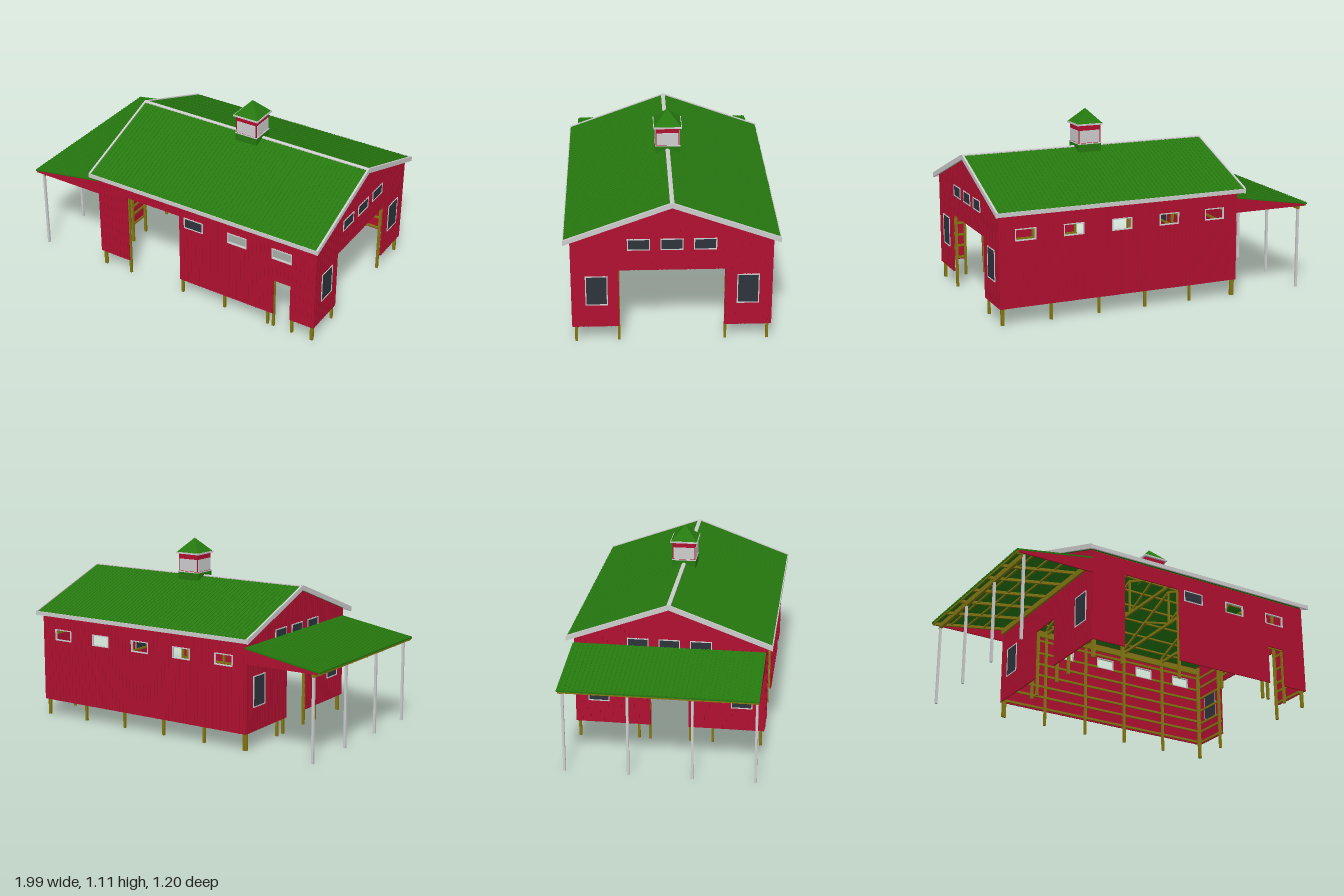
import * as THREE from 'three';
import { mergeGeometries } from 'three/addons/utils/BufferGeometryUtils.js';

const mat = (name, color) => {
  const m = new THREE.MeshStandardMaterial({ color });
  m.name = name;
  return m;
};
const M = {
  red: mat('red siding', 0xb01030),
  green: mat('green roofing', 0x26790f),
  trim: mat('light trim', 0xcdcdcd),
  wood: mat('timber', 0x857812),
  glass: mat('dark glass', 0x2d343b),
};
const BASE = 0.1, EAVE = 0.645, SLOPE = 0.367;

// Box geometry given by its min and max corners
function box(x0, x1, y0, y1, z0, z1) {
  return new THREE.BoxGeometry(x1 - x0, y1 - y0, z1 - z0)
    .translate((x0 + x1) / 2, (y0 + y1) / 2, (z0 + z1) / 2);
}
// Square timber between two points
function beam(a, b, w, h) {
  const A = new THREE.Vector3(...a), B = new THREE.Vector3(...b);
  const g = new THREE.BoxGeometry(w, h, A.distanceTo(B));
  const m = new THREE.Matrix4().lookAt(B, A, new THREE.Vector3(0, 1, 0));
  return g.applyMatrix4(m.setPosition(A.add(B).multiplyScalar(0.5)));
}
// One mesh from several pieces, all brought to non-indexed form
function add(parent, name, geos, material) {
  const mesh = new THREE.Mesh(mergeGeometries(geos.map(g => g.index ? g.toNonIndexed() : g)), material);
  mesh.name = name;
  parent.add(mesh);
}
function extrude(points, depth, holes = []) {
  const shape = new THREE.Shape(points.map(p => new THREE.Vector2(...p)));
  for (const [a, b, c, d] of holes)
    shape.holes.push(new THREE.Path([[a, c], [a, d], [b, d], [b, c]].map(p => new THREE.Vector2(...p))));
  return new THREE.ExtrudeGeometry(shape, { depth, bevelEnabled: false });
}
// Parts of lo..hi that remain between the gaps
function spans(lo, hi, gaps) {
  const out = [];
  let at = lo;
  for (const [a, b] of [...gaps].sort((p, q) => p[0] - q[0])) {
    if (a > at) out.push([at, Math.min(a, hi)]);
    at = Math.max(at, b);
  }
  if (at < hi) out.push([at, hi]);
  return out;
}

// Ribbed wall facing local +z; rectangles are [u0, u1, y0, y1]
function wall(name, { u0, u1, gable = false, doors = [], open = [], glazed = [], rows, posts }) {
  const g = new THREE.Group();
  g.name = name;
  const top = u => gable ? 0.858 - SLOPE * Math.abs(u) : EAVE;
  const outline = [[u0, BASE]];
  for (const [a, b, , h] of doors) outline.push([a, BASE], [a, h], [b, h], [b, BASE]);
  outline.push([u1, BASE], [u1, top(u1)]);
  if (gable) outline.push([0, top(0)]);
  outline.push([u0, top(u0)]);
  const siding = [extrude(outline, 0.007, open)];
  for (let u = u0 + 0.012; u < u1 - 0.006; u += 0.026) {
    const gaps = [...doors, ...open, ...glazed].filter(r => u > r[0] - 0.006 && u < r[1] + 0.006).map(r => [r[2], r[3]]);
    for (const [a, b] of spans(BASE, top(u), gaps)) siding.push(box(u - 0.003, u + 0.003, a, b, 0.006, 0.009));
  }
  add(g, 'siding', siding, M.red);
  // Horizontal girts and posts on the inside
  const wood = [];
  for (const y of rows) {
    const gaps = [...doors, ...open].filter(r => y > r[2] && y < r[3]).map(r => [r[0], r[1]]);
    for (const [a, b] of spans(u0 + 0.02, u1 - 0.02, gaps)) wood.push(box(a, b, y - 0.007, y + 0.007, -0.007, -0.0005));
  }
  for (const [u, h] of posts) wood.push(box(u - 0.007, u + 0.007, 0, h, -0.022, -0.007));
  add(g, 'framing', wood, M.wood);
  // Window frames and panes
  const f = 0.006, frames = [];
  for (const [a, b, c, d] of [...open, ...glazed]) {
    frames.push(box(a, b, c, c + f, -0.001, 0.011), box(a, b, d - f, d, -0.001, 0.011),
      box(a, a + f, c, d, -0.001, 0.011), box(b - f, b, c, d, -0.001, 0.011));
  }
  add(g, 'windowFrames', frames, M.trim);
  if (glazed.length) add(g, 'windowPanes', glazed.map(([a, b, c, d]) => box(a + f, b - f, c + f, d - f, -0.001, 0.0085)), M.glass);
  return g;
}

// Chevron across the ridge, extruded from x0 to x1
function chevron(x0, x1, half, peak, thick) {
  const e = peak - half * SLOPE;
  return extrude([[-half, e - thick], [0, peak - thick], [half, e - thick], [half, e], [0, peak], [-half, e]], x1 - x0)
    .rotateY(Math.PI / 2).translate(x0, 0, 0);
}

export function createModel() {
  const root = new THREE.Group();
  root.name = 'barn';
  const place = (w, x, z, ry) => { w.position.set(x, 0, z); w.rotation.y = ry; root.add(w); };
  const rows = [0.115, 0.19, 0.26, 0.335, 0.41, 0.485, 0.57];
  const endRows = [0.112, 0.185, 0.243, 0.333, 0.42, 0.5, 0.57];
  const win = (c, w, y0, y1) => [c - w / 2, c + w / 2, y0, y1];
  const bays = [-0.51, -0.22, 0.07, 0.36, 0.655, 0.95];

  // Four walls
  place(wall('frontWall', {
    u0: -0.52, u1: 0.967, rows, doors: [[-0.31, 0.06, BASE, 0.55], [0.7, 0.81, BASE, 0.335]],
    open: [win(0.455, 0.13, 0.483, 0.553), win(0.75, 0.13, 0.483, 0.553)], glazed: [win(0.16, 0.13, 0.483, 0.553)],
    posts: [[-0.505, EAVE], [-0.315, EAVE], [0.066, EAVE], [0.36, EAVE], [0.655, EAVE], [0.694, 0.4], [0.816, 0.4], [0.95, EAVE]],
  }), 0, 0.553, 0);
  place(wall('backWall', {
    u0: -0.967, u1: 0.52, rows, open: [-0.81, -0.52, -0.225, 0.075, 0.37].map(c => win(c, 0.125, 0.483, 0.553)),
    posts: bays.map(x => [-x, EAVE]),
  }), 0, -0.553, Math.PI);
  const panes = [win(-0.42, 0.125, 0.24, 0.425), win(0.425, 0.125, 0.24, 0.425),
    ...[-0.184, 0, 0.184].map(c => win(c, 0.127, 0.585, 0.655))];
  place(wall('rightGable', {
    u0: -0.56, u1: 0.56, gable: true, rows: endRows, doors: [[-0.295, 0.295, BASE, 0.46]], glazed: panes,
    posts: [[-0.54, 0.63], [-0.298, 0.7], [0.302, 0.7], [0.54, 0.63]],
  }), 0.96, 0, Math.PI / 2);
  place(wall('leftGable', {
    u0: -0.56, u1: 0.56, gable: true, rows: endRows, doors: [[-0.113, 0.113, BASE, 0.4]], glazed: panes,
    posts: [[-0.54, 0.63], [-0.185, 0.75], [-0.12, 0.75], [0.12, 0.75], [0.255, 0.7], [0.54, 0.63]],
  }), -0.513, 0, -Math.PI / 2);

  // Ribbed gable roof
  const roof = [chevron(-0.55, 0.985, 0.595, 0.878, 0.014)];
  for (let x = -0.525; x < 0.975; x += 0.026) roof.push(chevron(x, x + 0.006, 0.595, 0.8805, 0.004));
  add(root, 'roof', roof, M.green);
  const trim = [chevron(-0.558, -0.546, 0.599, 0.883, 0.03), chevron(0.981, 0.993, 0.599, 0.883, 0.03),
    chevron(-0.55, 0.985, 0.012, 0.884, 0.006)];
  for (const s of [-1, 1]) {
    const a = s * 0.59, b = s * 0.6;
    trim.push(box(-0.558, 0.993, 0.636, 0.66, Math.min(a, b), Math.max(a, b)));
  }
  add(root, 'roofTrim', trim, M.trim);

  // Trusses, purlins and wall plates
  const truss = [];
  const under = z => 0.85 - SLOPE * Math.abs(z);
  for (const x of bays.slice(1, -1)) {
    truss.push(box(x - 0.006, x + 0.006, 0.615, 0.632, -0.54, 0.54), box(x - 0.005, x + 0.005, 0.62, 0.84, -0.006, 0.006));
    for (const s of [-1, 1]) {
      truss.push(beam([x, under(0.54) - 0.006, s * 0.54], [x, under(0) - 0.006, 0], 0.012, 0.014));
      truss.push(beam([x, 0.625, 0], [x, under(0.27) - 0.01, s * 0.27], 0.01, 0.012));
    }
  }
  for (const s of [-1, 1]) {
    for (const z of [0.08, 0.19, 0.3, 0.41, 0.51])
      truss.push(beam([-0.5, under(z) + 0.006, s * z], [0.95, under(z) + 0.006, s * z], 0.012, 0.01));
    truss.push(beam([-0.5, 0.61, s * 0.535], [0.95, 0.61, s * 0.535], 0.014, 0.04));
  }
  add(root, 'roofFraming', truss, M.wood);

  // Lean-to porch
  const porch = new THREE.Group();
  porch.name = 'porch';
  root.add(porch);
  const py = x => 0.53 + (x + 1) * 0.165;
  const slab = (x0, x1, z0, z1, lift, t) => extrude([[x0, py(x0) + lift - t], [x1, py(x1) + lift - t],
    [x1, py(x1) + lift], [x0, py(x0) + lift]], z1 - z0).translate(0, 0, z0);
  const sheet = [slab(-1, -0.52, -0.567, 0.56, -0.002, 0.01)];
  for (let z = -0.555; z < 0.55; z += 0.026) sheet.push(slab(-1, -0.52, z, z + 0.006, 0.001, 0.004));
  add(porch, 'porchRoof', sheet, M.green);
  const cheek = [[-0.99, 0.51], [-0.52, 0.51], [-0.52, py(-0.52) - 0.01], [-0.99, py(-0.99) - 0.01]];
  add(porch, 'porchSides', [extrude(cheek, 0.008).translate(0, 0, 0.551), extrude(cheek, 0.008).translate(0, 0, -0.562)], M.red);
  const frame = [box(-0.958, -0.942, 0.49, 0.522, -0.555, 0.55), box(-0.996, -0.99, 0.508, 0.52, -0.562, 0.558),
    box(-0.535, -0.522, 0.55, 0.585, -0.55, 0.55)];
  const legs = [-0.545, -0.178, 0.187, 0.545];
  for (const z of [...legs, -0.36, 0, 0.36]) frame.push(slab(-0.99, -0.52, z - 0.006, z + 0.006, -0.011, 0.018));
  for (const x of [-0.88, -0.77, -0.66]) frame.push(slab(x - 0.006, x + 0.006, -0.55, 0.55, -0.011, 0.01));
  add(porch, 'porchFraming', frame, M.wood);
  add(porch, 'porchPosts', legs.map(z => box(-0.957, -0.943, 0, 0.505, z - 0.007, z + 0.007)), M.trim);

  // Cupola on the ridge
  const cupola = new THREE.Group();
  cupola.name = 'cupola';
  cupola.position.x = 0.217;
  root.add(cupola);
  const sq = (h, y0, y1) => box(-h, h, y0, y1, -h, h);
  add(cupola, 'cupolaBase', [sq(0.073, 0.85, 0.898)], M.green);
  add(cupola, 'cupolaBody', [sq(0.07, 0.898, 1.012)], M.red);
  add(cupola, 'cupolaLouvers', [box(-0.064, 0.064, 0.906, 0.98, -0.0725, 0.0725),
    box(-0.0725, 0.0725, 0.906, 0.98, -0.064, 0.064)], M.trim);
  add(cupola, 'cupolaTrim', [sq(0.074, 0.897, 0.903), sq(0.083, 1.011, 1.021)], M.trim);
  const cap = new THREE.ConeGeometry(0.08 * Math.SQRT2, 0.085, 4).toNonIndexed();
  cap.rotateY(Math.PI / 4).translate(0, 1.0625, 0).computeVertexNormals();
  add(cupola, 'cupolaRoof', [cap], M.green);
  return root;
}
